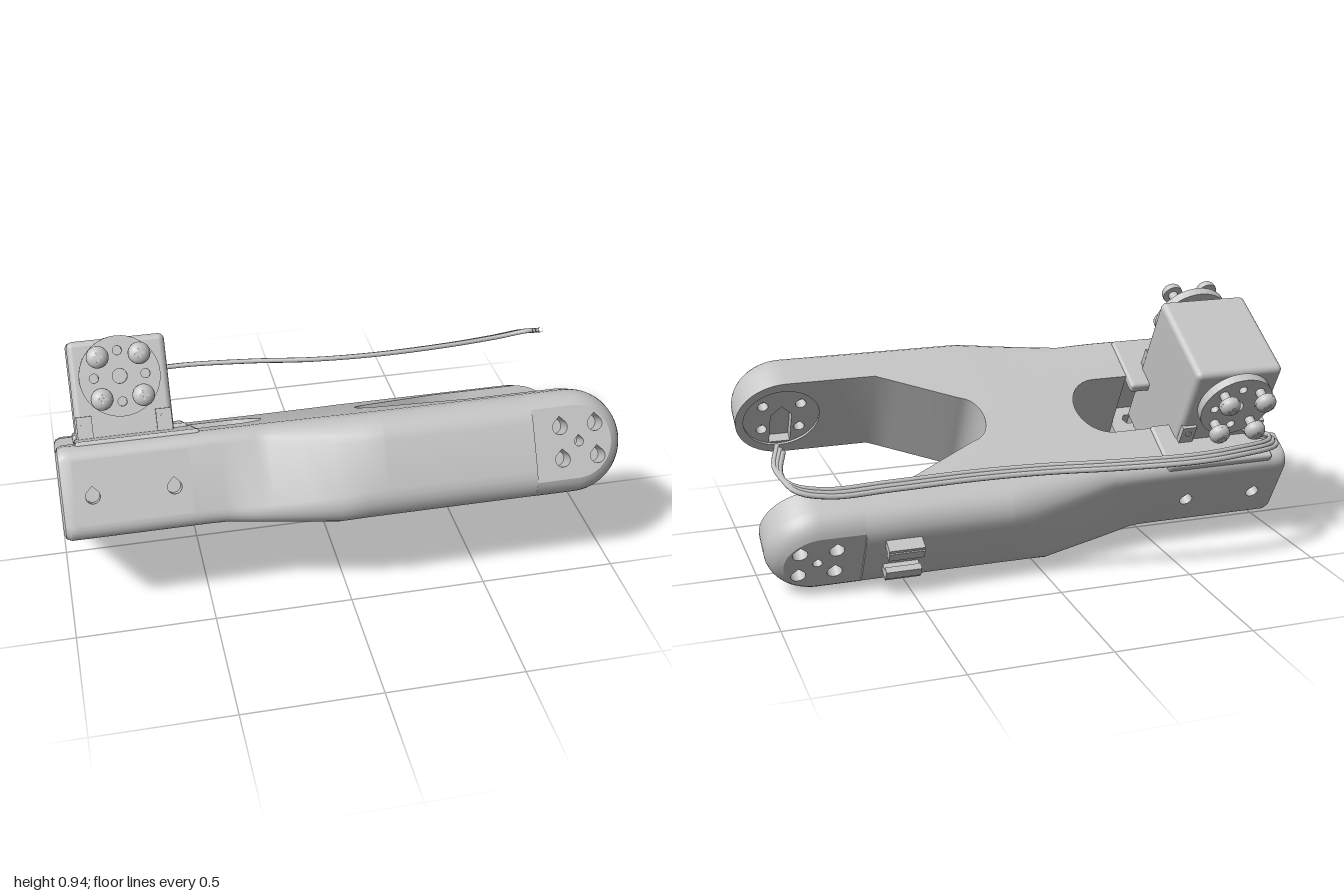
import * as THREE from 'three';
import { toCreasedNormals } from 'three/addons/utils/BufferGeometryUtils.js';
import { RoundedBoxGeometry } from 'three/addons/geometries/RoundedBoxGeometry.js';

const { lerp, smoothstep, clamp } = THREE.MathUtils;
const MID = 0.264;                  // centre of the link across its width
const TOP = 0.432, BOTTOM = 0.062;  // faces of the link
const FORK_X = 0.66, R = 0.185, CX = 0.815, CY = 0.247; // rounded fork ends
const ramp = (x, a, b) => clamp((x - a) / (b - a), 0, 1);

// Skin over equal rings of points; skip(i, j) leaves a panel open
function skin(rings, flip, closed, skip = () => false) {
  const n = rings[0].length, idx = [];
  const tri = (a, b, c) => (flip ? idx.push(a, c, b) : idx.push(a, b, c));
  for (let i = 0; i < rings.length - 1; i++) {
    for (let j = 0; j < (closed ? n : n - 1); j++) {
      if (skip(i, j)) continue;
      const a = i * n + j, b = i * n + (j + 1) % n;
      tri(a, a + n, b);
      tri(b, a + n, b + n);
    }
  }
  if (closed) {
    const last = (rings.length - 1) * n;
    for (let j = 1; j < n - 1; j++) {
      tri(0, j, j + 1);
      tri(last, last + j + 1, last + j);
    }
  }
  const geo = new THREE.BufferGeometry();
  geo.setAttribute('position', new THREE.Float32BufferAttribute(rings.flat(2), 3));
  geo.setIndex(idx);
  return toCreasedNormals(geo, 0.5);
}

// Outline of a fork end at a given radius
const forkOutline = (r) => {
  const pts = [[FORK_X, CY - r]];
  for (let k = 0; k <= 24; k++) {
    const a = (k / 24 - 0.5) * Math.PI;
    pts.push([CX + r * Math.cos(a), CY + r * Math.sin(a)]);
  }
  pts.push([FORK_X, CY + r]);
  return pts;
};
const polygon = (pts, holes = []) => {
  const sh = new THREE.Shape(pts.map(([x, y]) => new THREE.Vector2(x, y)));
  sh.holes.push(...holes);
  return sh;
};
const circle = (x, y, r) => new THREE.Path().absarc(x, y, r, 0, Math.PI * 2, true);
const teardrop = (x, y, r, tip = 1.42) => {
  const p = new THREE.Path();
  p.absarc(x, y, r, Math.PI * 0.75, Math.PI * 2.25, false);
  p.lineTo(x, y + r * tip);
  p.closePath();
  return p;
};

// Half of the slot opening at a station along the link
const slot = (x) => {
  if (x < -0.24) return 0.14 * Math.sqrt(1 - ramp(x, -0.36, -0.24) ** 2);
  if (x < 0.12) return 0;
  const tip = 0.11 * Math.sqrt(1 - (1 - ramp(x, 0.12, 0.2)) ** 2);
  return tip + 0.152 * ramp(x, 0.19, 0.48);
};

// Cross-section of one half: sharp inside edges, rounded outside edges
const section = (x, inner, shrink) => {
  const bottom = lerp(0.107, BOTTOM, ramp(x, -0.45, -0.05)) + shrink, top = TOP - shrink;
  const wide = (v) => {
    const x0 = lerp(-0.44, -0.27, ramp(v, 0.07, TOP));
    return lerp(0.363, 0.45, ramp(x, x0, x0 + 0.39)) - shrink;
  };
  const r = lerp(0.05, 0.1, smoothstep(x, -0.45, 0.1));
  const pts = [[inner, bottom]];
  for (const [cy, from] of [[bottom + r, -Math.PI / 2], [top - r, 0]]) {
    for (let k = 0; k <= 6; k++) {
      const a = from + (k / 6) * Math.PI / 2, v = cy + r * Math.sin(a);
      pts.push([wide(v) - r + r * Math.cos(a), v]);
    }
  }
  pts.push([inner, top]);
  return pts;
};

export function createModel() {
  const grey = new THREE.MeshStandardMaterial({ color: 0xc4c4c4 });
  grey.name = 'printed grey';

  const model = new THREE.Group();
  model.name = 'servoArmLink';
  const link = new THREE.Group();
  link.name = 'tiltedLink';
  link.rotation.x = -Math.PI / 6;
  model.add(link);

  const add = (name, geo, x = 0, y = 0, z = 0, parent = link) => {
    const m = new THREE.Mesh(geo, grey);
    m.name = name;
    m.position.set(x, y, z);
    parent.add(m);
  };
  const box = (name, x0, x1, y0, y1, z0, z1) => add(name,
    new THREE.BoxGeometry(x1 - x0, y1 - y0, z1 - z0), (x0 + x1) / 2, (y0 + y1) / 2, (z0 + z1) / 2);
  const discZ = (r, depth, seg = 32) => new THREE.CylinderGeometry(r, r, depth, seg).rotateX(Math.PI / 2);
  const extrude = (shape, depth) => new THREE.ExtrudeGeometry(shape, { depth, bevelEnabled: false, curveSegments: 20 });
  const plate = (name, shape, za, zb) => add(name, extrude(shape, Math.abs(zb - za)), 0, 0, Math.min(za, zb));

  // Stations: open servo bay, rear slot, solid web, fork slot
  const stations = [[-1, 0.225, 0.02], [-0.993, 0.225, 0.007], [-0.975, 0.225, 0],
    [-0.95, 0.225, 0], [-0.55, 0.225, 0], [-0.5, 0.225, 0]];
  const xs = [-0.5, -0.44, -0.4, -0.36];
  for (let k = 1; k <= 8; k++) xs.push(-0.36 + 0.12 * Math.sin(k / 8 * Math.PI / 2));
  xs.push(-0.15, -0.05, 0.05, 0.12);
  for (let k = 1; k <= 8; k++) xs.push(0.2 - 0.08 * Math.cos(k / 8 * Math.PI / 2));
  xs.push(0.3, 0.4, 0.48, FORK_X);
  xs.forEach((x) => stations.push([x, slot(x), 0]));

  for (const s of [1, -1]) {
    const side = s > 0 ? 'front' : 'back';
    const z = (w) => MID + s * w;
    const rings = stations.map(([x, inner, sh]) => section(x, inner, sh).map(([w, v]) => [x, v, z(w)]));
    add(side + 'Half', skin(rings, s < 0, true, (i, j) => i === 3 && j === 7));

    // Bay wall panel with two screw holes
    const panel = [[-0.95, 0.157], [-0.55, 0.157], [-0.55, 0.382], [-0.95, 0.382]];
    plate('bayPanel', polygon(panel, [-0.89, -0.61].map((x) => teardrop(x, 0.254, 0.025))), z(0.363), z(0.3));
    plate('bayPanelBack', polygon(panel), z(0.3), z(0.29));

    // Rounded fork end: filleted rim swept round its outline
    const profile = [[0, 0.262], [0, 0.35]];
    const stop = Math.acos(0.45);
    for (let k = 1; k <= 6; k++) {
      const a = k / 6 * stop;
      profile.push([0.1 * (1 - Math.cos(a)), 0.35 + 0.1 * Math.sin(a)]);
    }
    const lines = profile.map(([inset, w]) => forkOutline(R - inset).map(([x, y]) => [x, y, z(w)]));
    add(side + 'ForkRim', skin(lines[0].map((_, i) => lines.map((l) => l[i])), s < 0, false));

    // Outer fork face with four screw holes round a small one
    const grid = (dx, dy, r, cx, tip) => [-dx, dx].flatMap((x) => [-dy, dy].map((y) => teardrop(cx + x, CY + y, r, tip)));
    const face = profile[profile.length - 1][1];
    const cap = forkOutline(R - 0.055);
    plate('forkFace', polygon(cap, [...grid(0.065, 0.058, 0.027, 0.825), teardrop(0.825, CY, 0.017)]), z(face), z(0.37));
    plate('forkFaceBack', polygon(cap), z(0.37), z(0.36));

    // Inner fork face: round horn seat with keyhole and four holes
    const full = forkOutline(R);
    plate('hornSeatRim', polygon(full, [circle(0.825, CY, 0.145)]), z(0.262), z(0.271));
    const key = new THREE.Path();
    key.moveTo(0.785, CY - 0.135);
    key.lineTo(0.865, CY - 0.135);
    key.lineTo(0.865, CY + 0.01);
    key.lineTo(0.825, CY + 0.055);
    key.lineTo(0.785, CY + 0.01);
    key.closePath();
    plate('hornSeat', polygon(full, [key, ...grid(0.072, 0.062, 0.02, 0.825)]), z(0.271), z(0.31));
    plate('hornSeatBack', polygon(full), z(0.31), z(0.32));
  }

  // Bay floor pierced by a grid of hexagonal vents
  const vents = [];
  for (let i = 0; i < 4; i++) for (let j = 0; j < 4; j++) {
    const p = new THREE.Path();
    for (let k = 0; k < 6; k++) {
      const a = -k * Math.PI / 3;
      const x = -0.9 + i * 0.107 + 0.026 * Math.cos(a), w = 0.085 + j * 0.113 + 0.026 * Math.sin(a);
      if (k) p.lineTo(x, w); else p.moveTo(x, w);
    }
    p.closePath();
    vents.push(p);
  }
  const floor = [[-0.99, 0.03], [-0.5, 0.03], [-0.5, 0.498], [-0.99, 0.498]];
  add('bayFloor', extrude(polygon(floor, vents), 0.05).rotateX(Math.PI / 2), 0, 0.157, 0);

  // Raised pads on both bay walls
  for (const [z0, z1] of [[0.34, 0.595], [-0.085, 0.13]]) {
    add('bayPad', new RoundedBoxGeometry(0.43, 0.04, z1 - z0, 2, 0.012), -0.715, 0.422, (z0 + z1) / 2);
  }

  // Servo body with mounting lugs
  add('servoBody', new RoundedBoxGeometry(0.345, 0.62, 0.405, 3, 0.022), -0.7475, 0.475, 0.2425);
  for (const s of [1, -1]) {
    for (const dx of [-0.14, 0.14]) {
      add('servoLug', new THREE.BoxGeometry(0.055, 0.09, 0.03), -0.7475 + dx, 0.475, 0.2425 + s * 0.2);
      add('lugScrew', discZ(0.013, 0.006, 12), -0.7475 + dx, 0.49, 0.2425 + s * 0.216);
    }

    // Pierced output horn and its four cross-head screws
    const horn = new THREE.Group();
    horn.name = s > 0 ? 'frontHorn' : 'backHorn';
    horn.position.set(-0.7475, 0.65, 0.2425 - s * 0.017);
    if (s < 0) horn.rotation.y = Math.PI;
    link.add(horn);
    const disc = new THREE.Shape().absarc(0, 0, 0.142, 0, Math.PI * 2, false);
    disc.holes.push(circle(0, 0, 0.026));
    add('hub', discZ(0.075, 0.05), 0, 0, 0.215, horn);
    for (let k = 0; k < 4; k++) {
      const a = k * Math.PI / 2;
      disc.holes.push(circle(Math.cos(a) * 0.09, Math.sin(a) * 0.09, 0.016));
      const x = (k % 2 ? 1 : -1) * 0.072, y = (k < 2 ? 1 : -1) * 0.073;
      add('screwShaft', discZ(0.018, 0.1, 16), x, y, 0.28, horn);
      const head = new THREE.SphereGeometry(0.039, 20, 8, 0, Math.PI * 2, 0, Math.PI / 2)
        .rotateX(Math.PI / 2).scale(1, 1, 0.75);
      add('screwHead', head, x, y, 0.325, horn);
      add('screwHeadRim', discZ(0.039, 0.014, 20), x, y, 0.319, horn);
      for (const [w, h] of [[0.034, 0.009], [0.009, 0.034]]) {
        add('screwCross', new THREE.BoxGeometry(w, h, 0.006), x, y, 0.352, horn);
      }
    }
    add('hornDisc', extrude(disc, 0.034), 0, 0, 0.233, horn);
  }

  // Cable clip on the back fork: two hooked tabs
  for (const [y, lip] of [[0.325, -1], [0.195, 1]]) {
    box('clipTab', 0.46, 0.59, y - 0.016, y + 0.016, -0.235, -0.17);
    box('clipHook', 0.46, 0.59, y - 0.018 + lip * 0.014, y + 0.018 + lip * 0.014, -0.24, -0.215);
  }

  // Three-wire ribbon cable
  const path = [[-0.85, 0.42, -0.22], [-0.89, 0.43, -0.33], [-0.84, 0.44, -0.43], [-0.68, 0.45, -0.5],
    [-0.5, 0.45, -0.525], [-0.2, 0.45, -0.5], [0.05, 0.45, -0.46], [0.3, 0.45, -0.445], [0.6, 0.45, -0.455],
    [0.82, 0.455, -0.47], [0.93, 0.48, -0.45], [0.965, 0.52, -0.38], [0.94, 0.57, -0.3]];
  for (const k of [-1, 0, 1]) {
    const curve = new THREE.CatmullRomCurve3(path.map(([x, y, z]) =>
      new THREE.Vector3(x + k * 0.007, y + k * 0.008, z + k * 0.014)));
    add('cableWire', new THREE.TubeGeometry(curve, 90, 0.0095, 8), 0, 0, 0, model);
  }
  return model;
}
